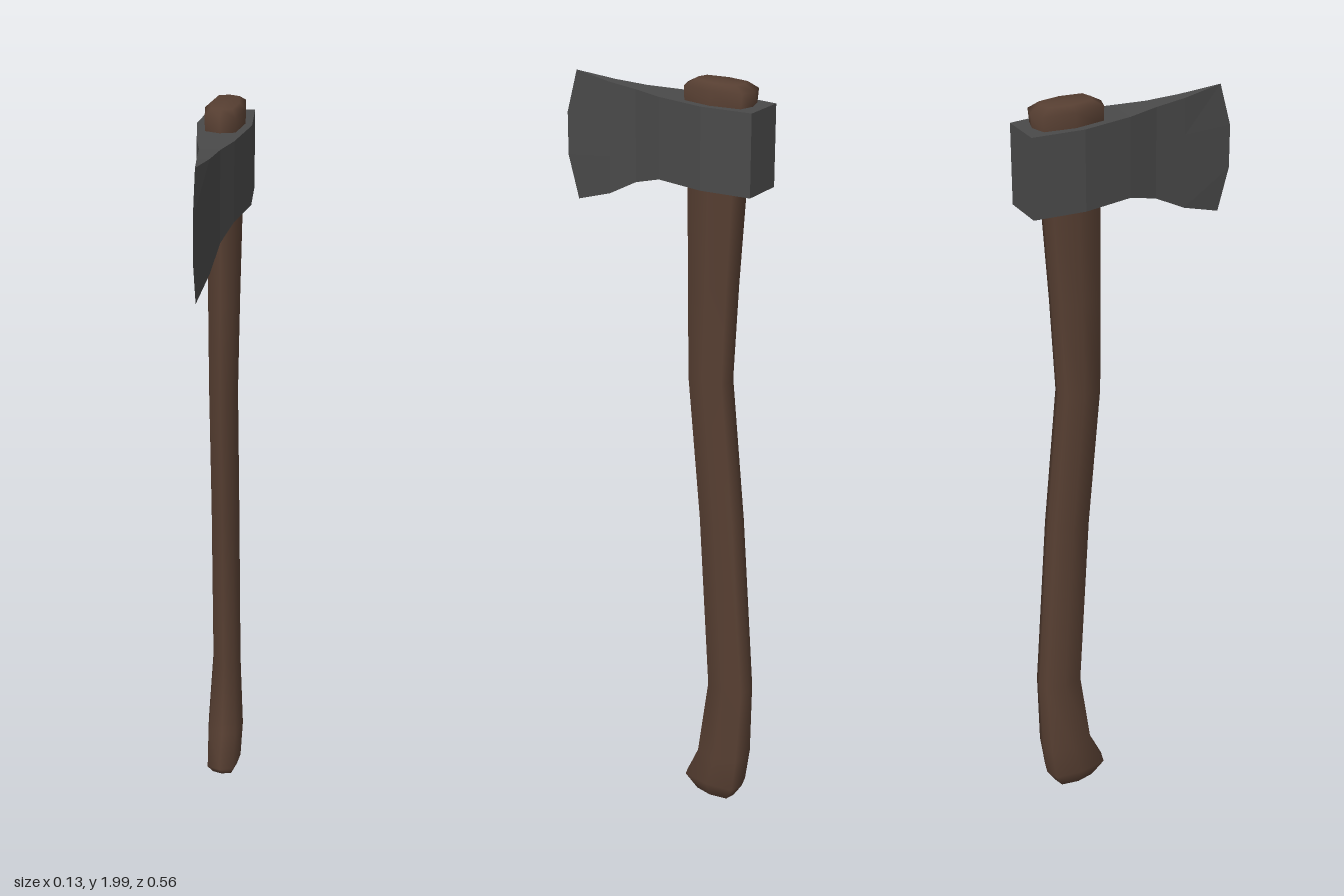
import * as THREE from 'three';

// Skin a list of equal-length rings (counterclockwise seen from the end) and cap both ends.
function loft(rings) {
  const n = rings[0].length, last = rings.length - 1;
  const points = rings.flat();
  const index = [];
  for (let i = 0; i < last; i++) {
    for (let j = 0; j < n; j++) {
      const k = (j + 1) % n;
      const a = i * n + j, b = i * n + k, c = a + n, d = b + n;
      index.push(a, b, c, b, d, c);
    }
  }
  for (const i of [0, last]) {
    const centre = rings[i].reduce((s, p) => s.add(p), new THREE.Vector3()).divideScalar(n);
    const m = points.push(centre) - 1;
    for (let j = 0; j < n; j++) {
      const a = i * n + j, b = i * n + (j + 1) % n;
      index.push(m, ...(i ? [a, b] : [b, a]));
    }
  }
  const geometry = new THREE.BufferGeometry().setFromPoints(points);
  geometry.setIndex(index);
  geometry.computeVertexNormals();
  return geometry;
}

// Handle: eight-sided oval rings, each [y, front z, back z, half width]
function handleGeometry() {
  const sections = [
    [0.01, -0.165, -0.185, 0.006],
    [0.03, -0.127, -0.235, 0.036],
    [0.07, -0.09, -0.26, 0.048],
    [0.165, -0.133, -0.27, 0.05],
    [0.38, -0.159, -0.276, 0.039],
    [0.87, -0.127, -0.239, 0.038],
    [1.25, -0.09, -0.2, 0.038],
    [1.5, -0.087, -0.212, 0.041],
    [1.75, -0.085, -0.228, 0.045],
    [1.94, -0.075, -0.25, 0.049],
    [1.985, -0.073, -0.255, 0.05],
    [2.0, -0.1, -0.228, 0.034],
  ];
  const oval = [[1, 0], [0.75, -0.87], [0, -1], [-0.75, -0.87], [-1, 0], [-0.75, 0.87], [0, 1], [0.75, 0.87]];
  return loft(sections.map(([y, front, back, w]) => oval.map(([u, v]) =>
    new THREE.Vector3(u * w, y, (front + back) / 2 + v * (front - back) / 2))));
}

// Head: wedge sections from poll to cutting edge, each [z, bottom y, top y, half width]
function headGeometry() {
  const sections = [
    [-0.28, 1.75, 1.95, 0.055],
    [-0.15, 1.75, 1.95, 0.067],
    [-0.02, 1.75, 1.95, 0.045],
    [0.06, 1.725, 1.953, 0.025],
    [0.145, 1.68, 1.958, 0.015],
    [0.25, 1.645, 1.97, 0],
  ];
  const bulge = [0, 0.03, 0.03, 0]; // curve of the cutting edge
  const rows = [0, 1, 2, 3];
  const rings = sections.map(([z, low, high, w], i) => {
    const side = (x, r) => new THREE.Vector3(
      x, low + (high - low) * r / 3, z + (i === sections.length - 1 ? bulge[r] : 0));
    return [...rows.map(r => side(w, r)), ...rows.map(r => side(-w, 3 - r))];
  });
  const geometry = loft(rings).toNonIndexed();
  geometry.computeVertexNormals();
  return geometry;
}

export function createModel() {
  const group = new THREE.Group();
  group.name = 'axe';
  const add = (name, geometry, material) => {
    const mesh = new THREE.Mesh(geometry, material);
    mesh.name = name;
    group.add(mesh);
  };
  add('handle', handleGeometry(), new THREE.MeshStandardMaterial({ color: 0x573f32 }));
  add('axeHead', headGeometry(), new THREE.MeshStandardMaterial({ color: 0x4a4a4a, flatShading: true }));
  return group;
}
